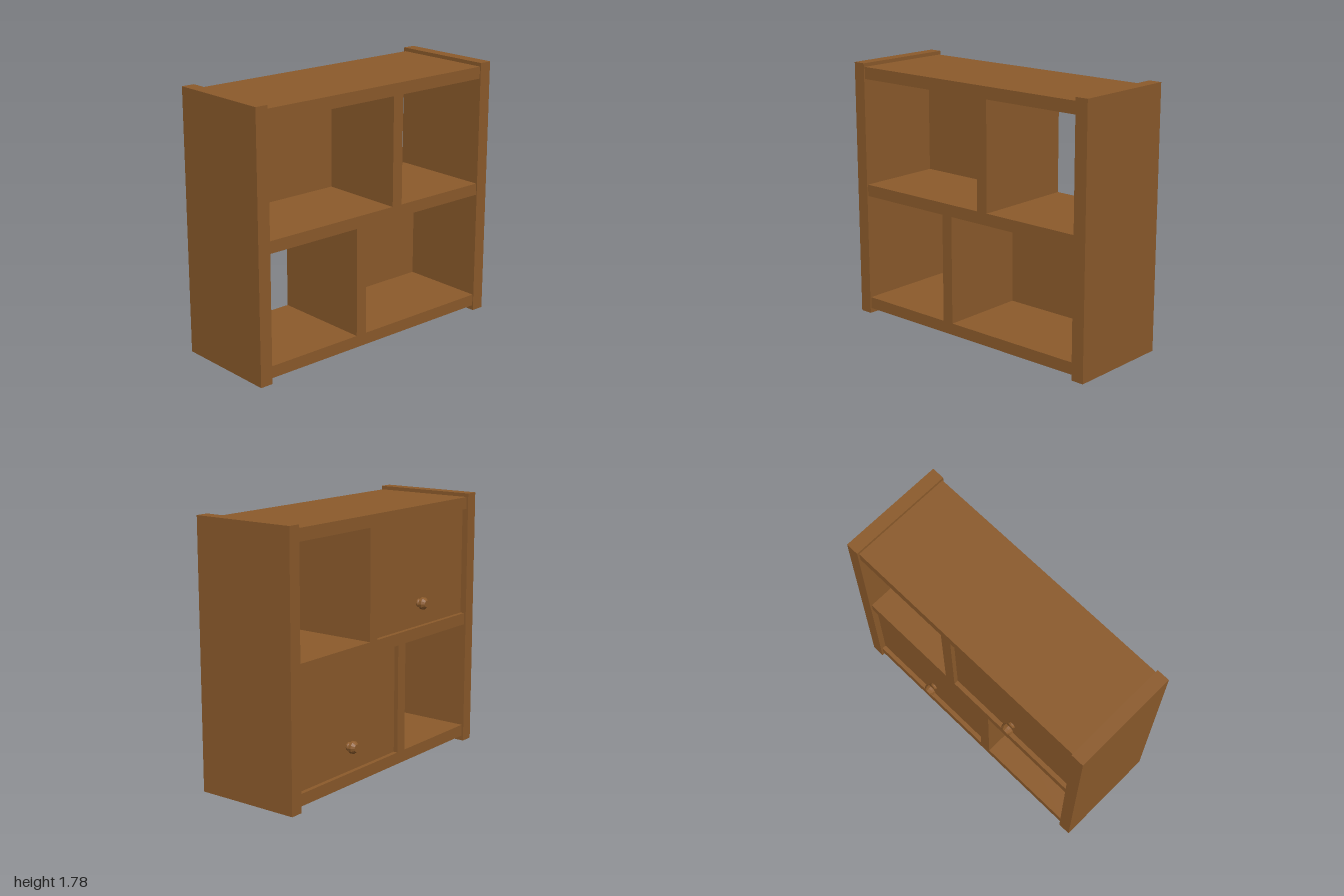
import * as THREE from 'three';

export function createModel() {
  const model = new THREE.Group();
  model.name = 'cabinet';
  const wood = new THREE.MeshStandardMaterial({ color: 0x8b5a2b });
  wood.name = 'brown wood';

  // Box given by its lower and upper limits on each axis
  const box = (name, x0, x1, y0, y1, z0, z1) => {
    const mesh = new THREE.Mesh(new THREE.BoxGeometry(x1 - x0, y1 - y0, z1 - z0), wood);
    mesh.position.set((x0 + x1) / 2, (y0 + y1) / 2, (z0 + z1) / 2);
    mesh.name = name;
    model.add(mesh);
  };

  const back = -0.347, open = 0.368; // depth limits of the shelves
  const inner = 0.908, outer = 0.9975; // end panel limits
  const bottomY = [0.035, 0.116], middleY = [0.856, 0.937], topY = [1.673, 1.755];

  // Horizontal boards
  box('bottomBoard', back, open, ...bottomY, -inner, inner);
  box('middleShelf', back, open, ...middleY, -inner, inner);
  box('topBoard', back, open, ...topY, -inner, inner);

  // End panels, slightly taller and deeper than the shelves
  box('frontEndPanel', -0.361, 0.376, 0, 1.78, inner, outer);
  box('backEndPanel', -0.361, 0.376, 0, 1.78, -outer, -inner);

  // Turned knob profile: radius, distance from the door
  const profile = [[0, 0], [0.028, 0], [0.028, 0.008], [0.02, 0.016], [0.042, 0.03], [0.042, 0.048], [0.025, 0.07], [0, 0.07]]
    .map(([r, h]) => new THREE.Vector2(r, h));
  const knobGeometry = new THREE.LatheGeometry(profile, 12).toNonIndexed();
  knobGeometry.computeVertexNormals();

  // Each level has one divider, one recessed door and one open cubby
  for (const [level, side, y0, y1, knobY] of [
    ['lower', -1, bottomY[1], middleY[0], 0.285],
    ['upper', 1, middleY[1], topY[0], 1.095],
  ]) {
    const span = (a, b) => [side * a, side * b].sort((p, q) => p - q);
    box(level + 'Divider', back, open, y0, y1, ...span(-0.115, -0.196));
    box(level + 'Door', -0.317, -0.238, y0, y1, ...span(-0.115, inner));
    const knob = new THREE.Mesh(knobGeometry, wood);
    knob.name = level + 'Knob';
    knob.rotation.z = Math.PI / 2;
    knob.position.set(-0.317, knobY, side * 0.384);
    model.add(knob);
  }

  // The cabinet stands very slightly turned
  model.rotation.y = 0.0075;
  model.position.x = 0.001;
  return model;
}
